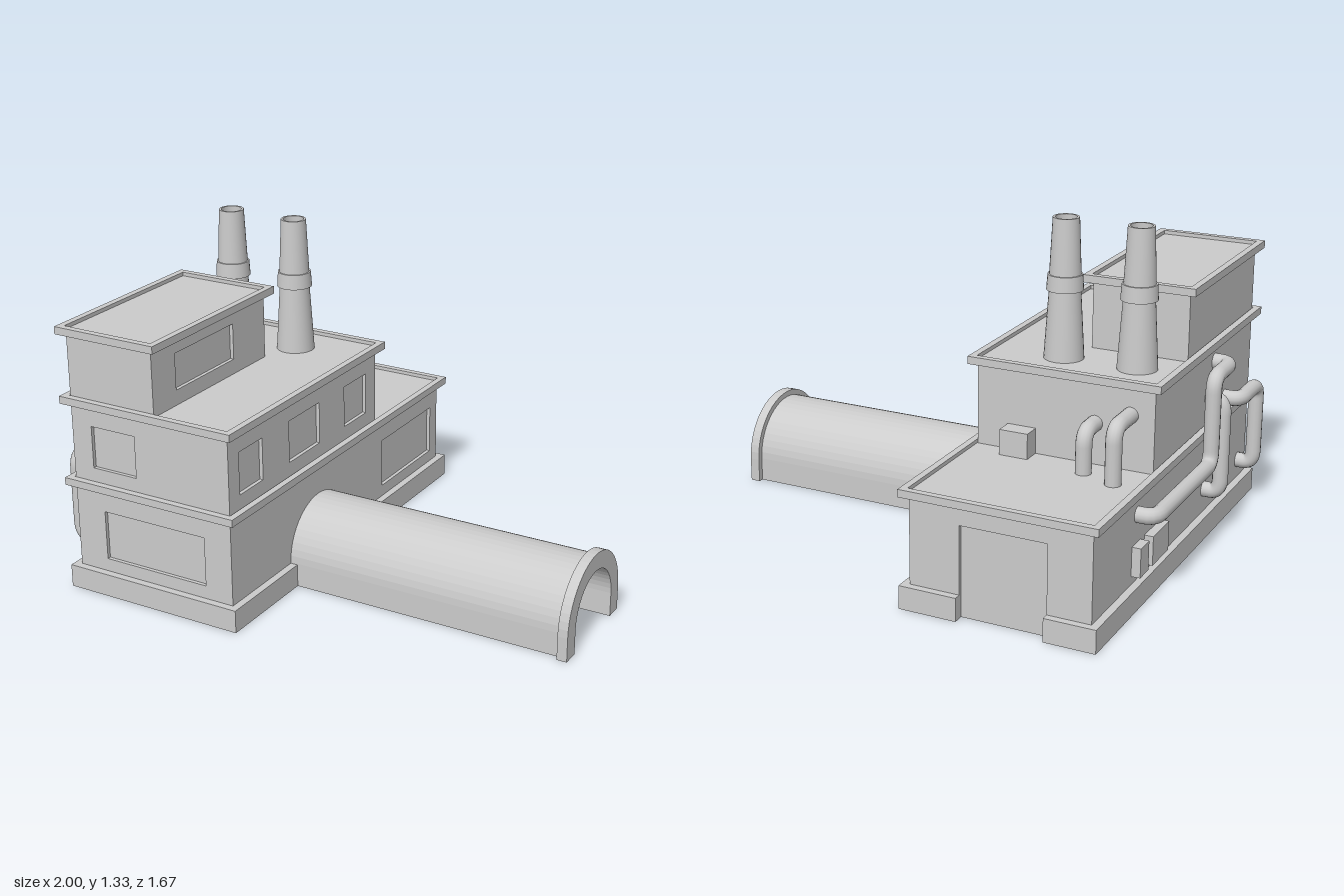
import * as THREE from 'three';

const T = 0.03; // wall thickness
const mat = new THREE.MeshStandardMaterial({ color: 0xcccccc, side: THREE.DoubleSide });

function add(parent, name, geometry) {
  const mesh = new THREE.Mesh(geometry, mat);
  mesh.name = name;
  parent.add(mesh);
  return mesh;
}

// Box given by its limits on each axis
function block(parent, name, x0, x1, y0, y1, z0, z1) {
  const m = add(parent, name, new THREE.BoxGeometry(x1 - x0, y1 - y0, z1 - z0));
  m.position.set((x0 + x1) / 2, (y0 + y1) / 2, (z0 + z1) / 2);
  return m;
}

const extrude = (shape, depth) => new THREE.ExtrudeGeometry(shape, { depth, bevelEnabled: false });

const rectPoints = (u0, u1, v0, v1) =>
  [[u0, v0], [u0, v1], [u1, v1], [u1, v0]].map(([u, v]) => new THREE.Vector2(u, v));

// Straight-legged arch outline standing on the ground
function archPoints(centre, r, leg = 0.097, n = 24) {
  const pts = [new THREE.Vector2(centre - r, 0)];
  for (let i = 0; i <= n; i++) {
    const a = Math.PI * (1 - i / n);
    pts.push(new THREE.Vector2(centre + r * Math.cos(a), leg + r * Math.sin(a)));
  }
  pts.push(new THREE.Vector2(centre + r, 0));
  return pts;
}

// Wall panel in the (u, y) plane with recessed windows and an optional opening at the foot
function wall(name, u0, u1, y0, y1, outerSide, { windows = [], notch = [] } = {}) {
  const g = new THREE.Group();
  g.name = name;
  const shape = new THREE.Shape([
    new THREE.Vector2(u0, y0), ...notch, new THREE.Vector2(u1, y0),
    new THREE.Vector2(u1, y1), new THREE.Vector2(u0, y1),
  ]);
  for (const w of windows) {
    shape.holes.push(new THREE.Path(rectPoints(...w)));
    const d = outerSide ? 0 : T / 2;
    block(g, 'windowPane', ...w, d, d + T / 2);
  }
  add(g, 'wallPanel', extrude(shape, T));
  return g;
}

// Four walls topped by a cornice with a sunken roof
function storey(parent, name, x0, x1, y0, y1, z0, z1, openings) {
  const g = new THREE.Group();
  g.name = name;
  const front = wall('frontWall', x0, x1, y0, y1, true, openings.front);
  front.position.z = z1 - T;
  const back = wall('backWall', x0, x1, y0, y1, false, openings.back);
  back.position.z = z0;
  const left = wall('leftWall', z0 + T, z1 - T, y0, y1, false, openings.left);
  left.position.x = x1;
  const right = wall('rightWall', z0 + T, z1 - T, y0, y1, true, openings.right);
  right.position.x = x0 + T;
  left.rotation.y = right.rotation.y = -Math.PI / 2;
  g.add(front, back, left, right);

  const o = 0.03, i = 0.003;
  const rim = new THREE.Shape(rectPoints(x0 - o, x1 + o, z0 - o, z1 + o));
  rim.holes.push(new THREE.Path(rectPoints(x0 - i, x1 + i, z0 - i, z1 + i)));
  const cornice = add(g, 'cornice', extrude(rim, 0.03));
  cornice.rotation.x = Math.PI / 2;
  cornice.scale.y = 1;
  cornice.position.y = y1 + 0.03;
  block(g, 'roof', x0 - i, x1 + i, y1, y1 + 0.015, z0 - i, z1 + i);
  parent.add(g);
}

// Round pipe through the given corners with soft bends
function pipe(parent, name, corners, r = 0.031, bend = 0.055) {
  const p = corners.map((c) => new THREE.Vector3(...c));
  const path = new THREE.CurvePath();
  let from = p[0];
  for (let i = 1; i < p.length - 1; i++) {
    const toward = (q) => p[i].clone().add(q.clone().sub(p[i]).setLength(Math.min(bend, q.distanceTo(p[i]) * 0.49)));
    const a = toward(p[i - 1]), b = toward(p[i + 1]);
    path.add(new THREE.LineCurve3(from, a));
    path.add(new THREE.QuadraticBezierCurve3(a, p[i], b));
    from = b;
  }
  path.add(new THREE.LineCurve3(from, p[p.length - 1]));
  add(parent, name, new THREE.TubeGeometry(path, 90, r, 14));
}

export function createModel() {
  const model = new THREE.Group();
  model.name = 'factory';
  const tz = 0.19; // tunnel centre line

  // Stacked storeys
  storey(model, 'groundFloor', -0.9, -0.19, 0, 0.435, -0.805, 0.805, {
    front: { windows: [[-0.77, -0.31, 0.145, 0.345]] },
    left: { windows: [[-0.745, -0.32, 0.14, 0.345]], notch: archPoints(tz, 0.165) },
    back: { notch: rectPoints(-0.73, -0.39, 0, 0.36) },
  });
  storey(model, 'middleFloor', -0.9, -0.19, 0.45, 0.77, -0.262, 0.805, {
    front: { windows: [[-0.81, -0.61, 0.52, 0.69]] },
    left: { windows: [[0.58, 0.735], [0.175, 0.395], [-0.185, -0.015]].map(([a, b]) => [a, b, 0.52, 0.69]) },
  });
  storey(model, 'topFloor', -0.9, -0.513, 0.785, 1.047, 0.06, 0.805, {
    left: { windows: [[0.28, 0.66, 0.845, 0.99]] },
  });
  block(model, 'backDoor', -0.73, -0.39, 0, 0.36, -0.79, -0.775);

  // Plinth, interrupted by the back door and the tunnel
  const ph = 0.092, pw = 0.065;
  block(model, 'plinthFront', -0.93, -0.16, 0, ph, 0.835 - pw, 0.835);
  block(model, 'plinthRight', -0.93, -0.93 + pw, 0, ph, -0.835, 0.835);
  block(model, 'plinthLeft', -0.16 - pw, -0.16, 0, ph, tz + 0.2, 0.835);
  block(model, 'plinthLeft', -0.16 - pw, -0.16, 0, ph, -0.835, tz - 0.2);
  block(model, 'plinthBack', -0.39, -0.16, 0, ph, -0.835, -0.835 + pw);
  block(model, 'plinthBack', -0.93, -0.73, 0, ph, -0.835, -0.835 + pw);

  // Arched tunnel with an end collar
  const vault = (name, r, x0, x1) => {
    const shape = new THREE.Shape([...archPoints(tz, r), ...archPoints(tz, 0.165).reverse()]);
    const m = add(model, name, extrude(shape, x1 - x0));
    m.rotation.y = -Math.PI / 2;
    m.position.x = x1;
  };
  vault('tunnel', 0.212, -0.2, 0.97);
  vault('tunnelCollar', 0.235, 0.96, 1);

  // Chimneys with a band and an open mouth
  const profile = [[0.077, 0.78], [0.06, 1.05], [0.07, 1.05], [0.066, 1.11], [0.06, 1.11],
    [0.05, 1.325], [0.041, 1.325], [0.045, 1.2], [0, 1.2]];
  for (const x of [-0.76, -0.465]) {
    const chimney = new THREE.Group();
    chimney.name = 'chimney';
    chimney.position.set(x, 0, -0.095);
    // each segment is its own ring so the edges stay crisp
    for (let i = 0; i < profile.length - 1; i++) {
      const seg = [profile[i], profile[i + 1]].map(([r, y]) => new THREE.Vector2(r, y));
      add(chimney, 'chimneyRing', new THREE.LatheGeometry(seg, 28));
    }
    model.add(chimney);
  }

  // Pipes and vent box on the low roof
  pipe(model, 'roofPipe', [[-0.805, 0.664, -0.25], [-0.805, 0.664, -0.414], [-0.805, 0.44, -0.414]]);
  pipe(model, 'roofPipe', [[-0.667, 0.61, -0.25], [-0.667, 0.61, -0.36], [-0.667, 0.44, -0.36]]);
  block(model, 'roofVent', -0.43, -0.315, 0.44, 0.55, -0.335, -0.255);

  // Pipes and meter boxes on the right wall
  const px = -0.967, wx = -0.885;
  pipe(model, 'longWallPipe', [[wx, 0.35, -0.405], [px, 0.35, -0.405], [px, 0.35, 0.175],
    [px, 0.7, 0.175], [px, 0.7, 0.365], [wx, 0.7, 0.365]]);
  pipe(model, 'middleWallPipe', [[wx, 0.57, 0.3], [px, 0.57, 0.3], [px, 0.19, 0.3], [wx, 0.19, 0.3]]);
  pipe(model, 'frontWallPipe', [[wx, 0.51, 0.5], [px, 0.51, 0.5], [px, 0.51, 0.71],
    [px, 0.17, 0.71], [wx, 0.17, 0.71]]);
  block(model, 'meterBox', -0.935, -0.89, 0.125, 0.24, -0.45, -0.37);
  block(model, 'meterBox', -0.935, -0.89, 0.125, 0.24, -0.33, -0.17);

  return model;
}
